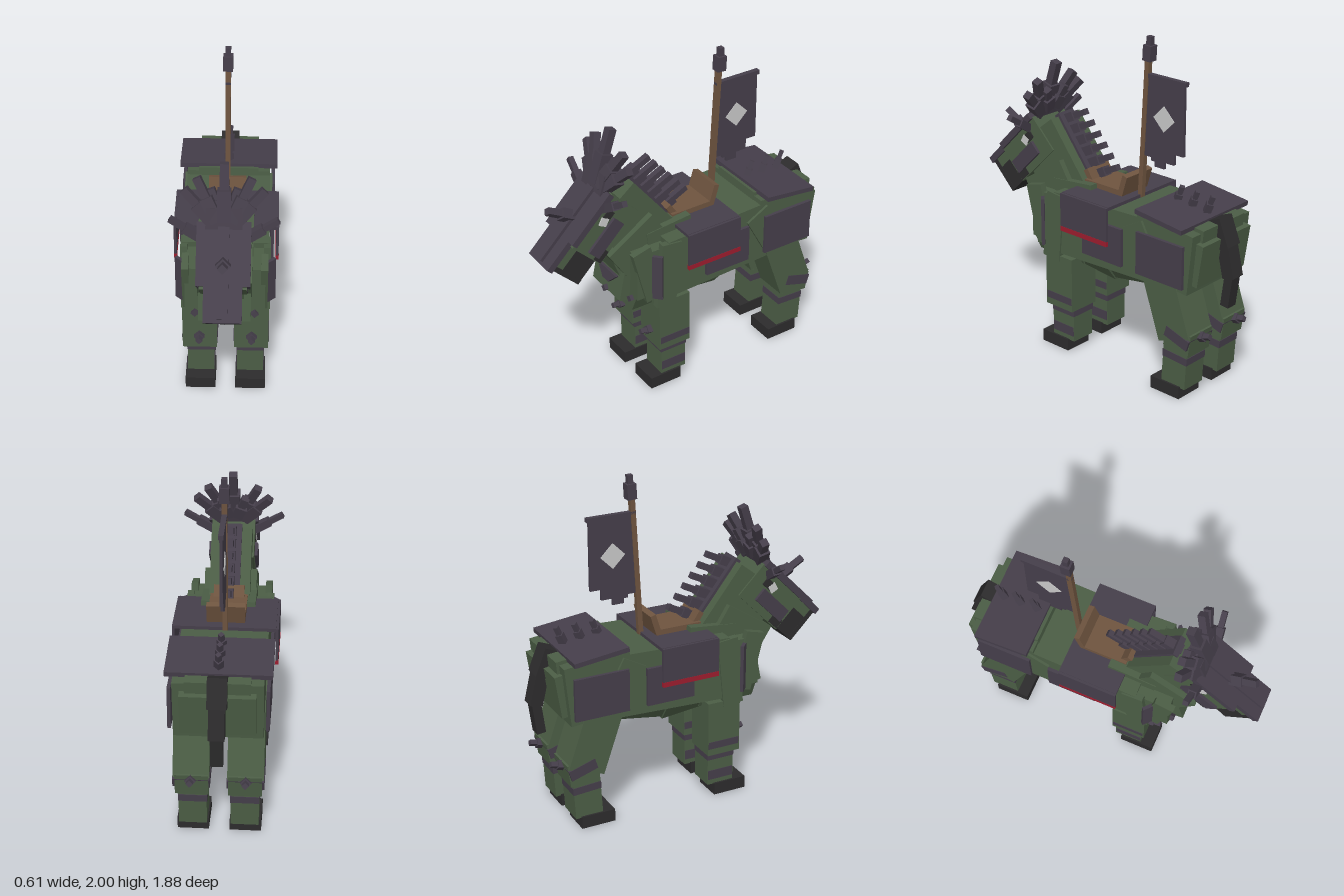
import * as THREE from 'three';

const mat = (name, color) => Object.assign(new THREE.MeshStandardMaterial({ color }), { name });

export function createModel() {
  const green = mat('green hide', 0x4b5d45), plate = mat('dark plate', 0x453e4a);
  const black = mat('black hoof and hair', 0x2c2b2c), wood = mat('brown wood and leather', 0x6e543f);
  const red = mat('red trim', 0x9c1c2e), pale = mat('pale emblem', 0xc8c8c8);
  const model = new THREE.Group();
  model.name = 'armouredHorse';

  // box by size and centre, with an optional tilt about x and taper of the lower edge
  const box = (name, m, size, pos, rx = 0, parent = model, bottom = 1) => {
    const g = new THREE.BoxGeometry(...size);
    if (bottom !== 1) {
      const p = g.attributes.position;
      for (let i = 0; i < p.count; i++) if (p.getY(i) < 0) p.setX(i, p.getX(i) * bottom);
      g.computeVertexNormals();
    }
    const mesh = new THREE.Mesh(g, m);
    mesh.name = name;
    mesh.position.set(...pos);
    mesh.rotation.x = rx;
    parent.add(mesh);
    return mesh;
  };
  // box whose length runs between two points
  const beam = (name, m, a, b, w, d, twist = 0) => {
    const A = new THREE.Vector3(...a), B = new THREE.Vector3(...b), dir = B.clone().sub(A);
    const mesh = box(name, m, [w, dir.length(), d], A.add(B).multiplyScalar(0.5).toArray());
    mesh.quaternion.setFromUnitVectors(new THREE.Vector3(0, 1, 0), dir.normalize());
    mesh.rotateY(twist);
    return mesh;
  };
  // stepped spike: thick base, thin tip
  const spike = (name, a, b, w = 0.045, twist = Math.PI / 4) => {
    const mid = a.map((v, i) => v + (b[i] - v) * 0.55);
    beam(name + 'Base', plate, a, mid, w, w, twist);
    beam(name + 'Tip', plate, mid, b, w * 0.65, w * 0.65, twist);
  };

  // trunk
  box('chest', green, [0.46, 0.30, 0.38], [0, 0.83, 0.24]);
  box('lowerChest', green, [0.46, 0.14, 0.36], [0, 0.645, 0.25], 0, model, 0.72);
  box('breast', green, [0.30, 0.22, 0.06], [0, 0.76, 0.45], -0.2);
  box('barrel', green, [0.50, 0.38, 0.74], [0, 0.84, -0.15], 0.04);
  box('bellyFront', green, [0.48, 0.12, 0.34], [0, 0.615, 0.0], -0.1, model, 0.6);
  box('bellyBack', green, [0.48, 0.12, 0.46], [0, 0.64, -0.33], 0.16, model, 0.6);
  box('rump', green, [0.50, 0.36, 0.40], [0, 0.87, -0.60], -0.1);
  box('croup', green, [0.36, 0.14, 0.42], [0, 1.0, -0.62], -0.1);
  box('buttock', green, [0.42, 0.26, 0.1], [0, 0.85, -0.79], -0.15);
  box('withers', green, [0.32, 0.16, 0.3], [0, 0.99, 0.16], 0.1);

  for (const s of [-1, 1]) {
    // shoulder muscle slats
    box('shoulderSlat', green, [0.04, 0.42, 0.13], [s * 0.24, 0.80, 0.23], -0.1);
    box('shoulderSlat', green, [0.04, 0.36, 0.12], [s * 0.225, 0.84, 0.36], 0.25);
    box('haunchSlat', green, [0.03, 0.30, 0.16], [s * 0.25, 0.86, -0.46], 0.5);

    // front leg
    box('frontUpperLeg', green, [0.205, 0.34, 0.21], [s * 0.153, 0.45, 0.192]);
    box('frontLowerLeg', green, [0.16, 0.22, 0.17], [s * 0.148, 0.18, 0.185]);
    box('frontHoof', black, [0.18, 0.075, 0.21], [s * 0.15, 0.0375, 0.245]);
    box('frontKneeBand', plate, [0.211, 0.045, 0.2], [s * 0.153, 0.345, 0.19]);
    box('frontShinBand', plate, [0.166, 0.045, 0.176], [s * 0.148, 0.258, 0.185]);
    box('frontAnkleBand', plate, [0.166, 0.06, 0.165], [s * 0.148, 0.133, 0.185]);
    spike('kneeSpike', [s * 0.155, 0.375, 0.28], [s * 0.155, 0.385, 0.37]);

    // hind leg
    beam('thigh', green, [s * 0.153, 0.80, -0.55], [s * 0.153, 0.37, -0.70], 0.205, 0.23);
    box('hock', green, [0.19, 0.14, 0.18], [s * 0.15, 0.37, -0.715], -0.15);
    box('hockBand', plate, [0.211, 0.065, 0.17], [s * 0.153, 0.39, -0.72], -0.3);
    box('hindLowerLeg', green, [0.16, 0.28, 0.17], [s * 0.148, 0.21, -0.685], -0.06);
    box('hindShinBand', plate, [0.166, 0.045, 0.176], [s * 0.148, 0.25, -0.688], -0.06);
    box('hindHoof', black, [0.18, 0.075, 0.21], [s * 0.15, 0.0375, -0.625]);
    spike('hockSpike', [s * 0.155, 0.39, -0.79], [s * 0.155, 0.415, -0.88]);

    // hanging side armour
    box('saddleClothSide', plate, [0.015, 0.205, 0.36], [s * 0.298, 0.95, -0.055]);
    box('saddleClothTrim', red, [0.018, 0.03, 0.36], [s * 0.298, 0.834, -0.055]);
    box('flankPlate', plate, [0.02, 0.23, 0.30], [s * 0.268, 0.825, -0.17]);
    box('rumpSidePlate', plate, [0.02, 0.255, 0.335], [s * 0.272, 0.838, -0.602]);
    const shoulder = box('shoulderPlate', plate, [0.16, 0.29, 0.02], [s * 0.225, 0.815, 0.345]);
    shoulder.rotation.y = s * 0.75;
  }

  // breast collar with spikes
  for (const x of [-0.165, -0.085, 0, 0.085, 0.165]) {
    const z = 0.46 - Math.abs(x) * 0.4;
    spike('collarSpike', [x, 0.665, z - 0.05], [x * 1.05, 0.67, z + 0.06], 0.05);
  }
  box('breastPlate', plate, [0.2, 0.07, 0.02], [0, 0.76, 0.49], -0.2, model, 0.3);

  // saddle cloth, saddle and rump cover
  box('saddleCloth', plate, [0.58, 0.02, 0.36], [0, 1.045, -0.055]);
  box('saddleSeat', wood, [0.22, 0.035, 0.28], [0, 1.07, -0.03]);
  box('saddleBack', wood, [0.22, 0.13, 0.035], [0, 1.12, -0.18], -0.3);
  box('saddlePommel', wood, [0.18, 0.09, 0.035], [0, 1.10, 0.1], 0.6);
  box('rumpCover', plate, [0.59, 0.028, 0.335], [0, 1.075, -0.605], -0.11);
  for (const z of [-0.49, -0.60, -0.71])
    spike('rumpSpike', [0, 1.075, z], [0, 1.18, z - 0.045], 0.04);

  // tail
  beam('tailTop', black, [0, 1.07, -0.80], [0, 0.91, -0.865], 0.11, 0.09);
  beam('tailMiddle', black, [0, 0.95, -0.855], [0, 0.74, -0.905], 0.09, 0.075);
  beam('tailEnd', black, [0, 0.75, -0.902], [0, 0.56, -0.877], 0.07, 0.055);

  // neck with plated mane
  beam('neck', green, [0, 0.86, 0.17], [0, 1.29, 0.51], 0.24, 0.35);
  beam('neckBase', green, [0, 0.80, 0.24], [0, 1.08, 0.42], 0.31, 0.34);
  beam('throat', green, [0, 0.78, 0.38], [0, 1.0, 0.46], 0.22, 0.16);
  beam('manePlate', plate, [0, 1.05, 0.10], [0, 1.41, 0.385], 0.12, 0.04);
  for (let i = 0; i < 6; i++) {
    const y = 1.38 - i * 0.057, z = 0.365 - i * 0.05;
    spike('maneSpike', [0, y - 0.02, z + 0.03], [0, y + 0.075, z - 0.165], 0.055, 0);
  }

  // head, sloping forward and down
  const head = new THREE.Group();
  head.name = 'head';
  head.position.set(0, 1.14, 0.64);
  head.rotation.x = Math.PI / 4;
  model.add(head);
  box('skull', green, [0.26, 0.24, 0.37], [0, -0.035, -0.07], 0, head);
  box('upperMuzzle', green, [0.186, 0.07, 0.2], [0, 0.05, 0.17], 0, head);
  box('lowerMuzzle', black, [0.19, 0.16, 0.2], [0, -0.062, 0.178], 0, head);
  box('noseTip', black, [0.194, 0.225, 0.03], [0, -0.03, 0.268], 0, head);
  box('browMask', plate, [0.296, 0.04, 0.35], [0, 0.097, -0.075], 0, head);
  box('noseMask', plate, [0.21, 0.04, 0.2], [0, 0.097, 0.198], 0, head);
  box('maskRidge', plate, [0.06, 0.03, 0.5], [0, 0.122, 0.03], 0, head);
  for (const s of [-1, 1]) {
    box('cheekPlate', plate, [0.02, 0.085, 0.24], [s * 0.138, -0.065, -0.03], 0, head);
    box('jawPatch', black, [0.008, 0.06, 0.08], [s * 0.13, -0.12, 0.07], 0, head);
    box('eyeSocket', black, [0.008, 0.05, 0.07], [s * 0.132, 0.015, -0.14], 0, head);
    box('eye', pale, [0.008, 0.05, 0.05], [s * 0.134, 0.015, -0.1], 0.3, head);
  }

  // crown of spikes, horn and brow spikes
  box('crownBase', plate, [0.2, 0.12, 0.07], [0, 1.42, 0.53], -0.3);
  spike('crownSpike', [0, 1.40, 0.54], [0, 1.71, 0.44], 0.075, 0);
  for (const s of [-1, 1]) {
    spike('crownSpike', [s * 0.035, 1.40, 0.54], [s * 0.15, 1.62, 0.45], 0.07, 0);
    spike('crownSpike', [s * 0.06, 1.39, 0.53], [s * 0.22, 1.55, 0.46], 0.07, 0);
    spike('crownSpike', [s * 0.02, 1.42, 0.50], [s * 0.075, 1.55, 0.45], 0.07, 0);
    spike('browSpike', [s * 0.12, 1.30, 0.56], [s * 0.295, 1.41, 0.54], 0.05, 0);
  }
  spike('horn', [0, 1.22, 0.68], [0, 1.32, 0.86], 0.06);

  // pole and banner
  beam('pole', wood, [0, 1.04, -0.23], [0, 1.9, -0.277], 0.03, 0.03);
  beam('poleHead', plate, [0, 1.86, -0.28], [0, 1.95, -0.285], 0.056, 0.056);
  beam('poleTip', plate, [0, 1.95, -0.285], [0, 2.0, -0.288], 0.032, 0.032);
  box('bannerBar', plate, [0.03, 0.025, 0.3], [0, 1.775, -0.405]);
  box('banner', plate, [0.018, 0.42, 0.285], [0, 1.565, -0.4]);
  [[-0.28, 0.06, 1.30], [-0.333, 0.05, 1.28], [-0.37, 0.07, 1.25], [-0.44, 0.07, 1.29]].forEach(([z, w, y]) =>
    box('bannerTatter', plate, [0.018, 1.36 - y, w], [0, (1.36 + y) / 2, z]));
  box('bannerDiamond', pale, [0.024, 0.108, 0.108], [0, 1.545, -0.4], Math.PI / 4);

  return model;
}
